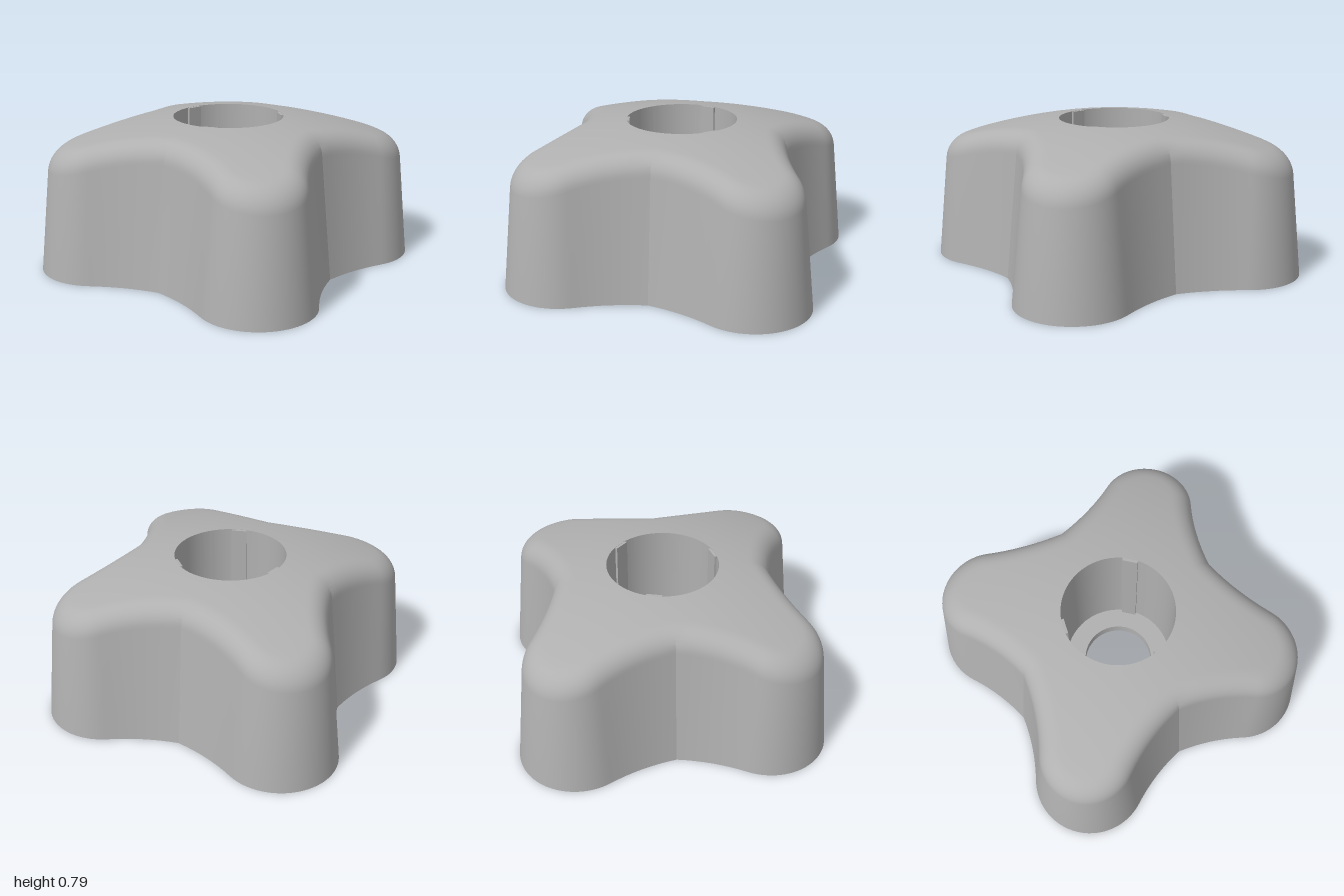
import * as THREE from 'three';
import { toCreasedNormals } from 'three/addons/utils/BufferGeometryUtils.js';

const BORE = 0.289, HOLE = 0.185, FLOOR = 0.065, DRAFT = 0.1;
const domeY = (r) => 0.802 - 0.19 * r * r;
const rad = THREE.MathUtils.degToRad;

// Four-lobed outline, counterclockwise from above; each entry has a point and an outward normal
function lobedOutline() {
  const half = [];
  const unit = (deg) => new THREE.Vector2(Math.cos(rad(deg)), Math.sin(rad(deg)));
  for (let i = 0; i <= 14; i++) { // rounded tip
    const n = unit(75 * i / 14);
    half.push({ p: n.clone().multiplyScalar(0.3).add(new THREE.Vector2(0.7, 0)), n });
  }
  const R = 1.054;
  const centre = half[14].p.clone().addScaledVector(unit(75), R);
  for (let i = 1; i < 8; i++) { // hollow flank
    const n = unit(75 - 20 * i / 8);
    half.push({ p: centre.clone().addScaledVector(n, -R), n });
  }
  // sharp valley between lobes, with a mitred normal
  const valley = {
    p: new THREE.Vector2(0.445, 0.445),
    n: unit(45).multiplyScalar(1 / Math.cos(rad(10))),
  };
  const flip = (v) => new THREE.Vector2(v.x, -v.y);
  const lobe = [
    ...half.slice(1).reverse().map(({ p, n }) => ({ p: flip(p), n: flip(n) })),
    ...half, valley,
  ];
  const outline = [], o = new THREE.Vector2();
  for (let k = 0; k < 4; k++) {
    for (const { p, n } of lobe) {
      outline.push({
        p: p.clone().rotateAround(o, k * Math.PI / 2),
        n: n.clone().rotateAround(o, k * Math.PI / 2),
      });
    }
  }
  return outline;
}

// Skin a list of closed rings of equal length
function loft(rings) {
  const n = rings[0].length, pos = [], index = [];
  for (const ring of rings) for (const v of ring) pos.push(v.x, v.y, v.z);
  for (let i = 0; i < rings.length - 1; i++) {
    for (let j = 0; j < n; j++) {
      const a = i * n + j, b = i * n + (j + 1) % n;
      index.push(a, b, b + n, a, b + n, a + n);
    }
  }
  const geo = new THREE.BufferGeometry();
  geo.setAttribute('position', new THREE.Float32BufferAttribute(pos, 3));
  geo.setIndex(index);
  return toCreasedNormals(geo, 0.3);
}

export function createModel() {
  const grey = new THREE.MeshStandardMaterial({ color: 0xb0b0b0 });
  grey.name = 'grey plastic';
  const group = new THREE.Group();
  group.name = 'knob';
  const add = (name, geometry) => {
    const mesh = new THREE.Mesh(geometry, grey);
    mesh.name = name;
    group.add(mesh);
    return mesh;
  };

  const outline = lobedOutline();
  const circle = (r, y) => outline.map(({ p }) => {
    const a = p.angle();
    return new THREE.Vector3(r * Math.cos(a), y, -r * Math.sin(a));
  });
  // Outline point moved inward by d; height y, or on the dome if omitted
  const inset = ({ p, n }, d, y) => {
    const q = p.clone().addScaledVector(n, -d);
    return new THREE.Vector3(q.x, y ?? domeY(q.length()), -q.y);
  };

  // Body: drafted wall, rounded shoulder, domed top
  const foot = outline.map((e) => inset(e, 0));
  foot.forEach((v) => { v.y = 0; });
  const shoulders = outline.map((e) => {
    const p1 = inset(e, 0.066);
    const y0 = p1.y - 0.1;
    return [inset(e, DRAFT * y0, y0), p1, inset(e, 0.166)];
  });
  const rings = [foot];
  const STEPS = 9, W = 0.85;
  for (let i = 0; i <= STEPS; i++) {
    const t = i / STEPS;
    const w = [(1 - t) ** 2, 2 * W * t * (1 - t), t * t];
    const sum = w[0] + w[1] + w[2];
    rings.push(shoulders.map((s) => {
      const v = new THREE.Vector3();
      s.forEach((c, k) => v.addScaledVector(c, w[k] / sum));
      return v;
    }));
  }
  const rim = circle(BORE, domeY(BORE));
  const edge = rings[rings.length - 1];
  for (let i = 1; i <= 10; i++) {
    rings.push(edge.map((v, j) => {
      const q = v.clone().lerp(rim[j], i / 10);
      q.y = domeY(Math.hypot(q.x, q.z));
      return q;
    }));
  }
  add('body', loft(rings));

  // Flat underside with the small hole
  add('underside', loft([circle(HOLE, 0), foot]));

  // Stepped bore
  add('bore', loft([rim, circle(BORE, FLOOR), circle(HOLE, FLOOR), circle(HOLE, 0)]));

  // Three shallow ribs inside the bore
  const top = 0.785;
  for (let k = 0; k < 3; k++) {
    const geo = new THREE.BoxGeometry(0.016, top - FLOOR, 0.08);
    geo.translate(0.281, (top + FLOOR) / 2, 0);
    geo.rotateY(k * Math.PI * 2 / 3);
    add('boreRib' + (k + 1), geo);
  }
  return group;
}
